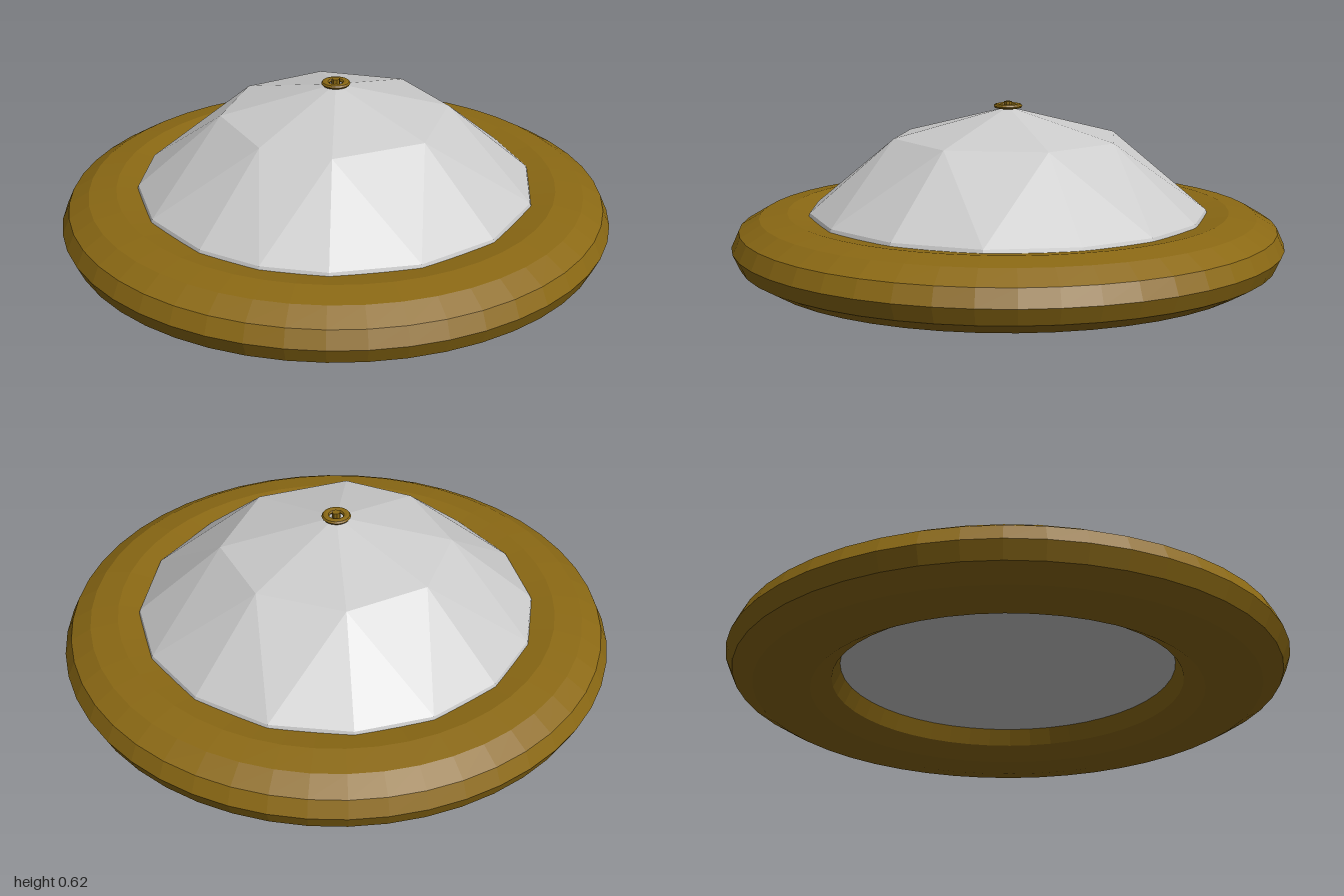
import * as THREE from 'three';

const gold = new THREE.MeshStandardMaterial({ color: 0x8b6914, flatShading: true });
const grey = new THREE.MeshStandardMaterial({ color: 0xcccccc, flatShading: true });

// horizontal ring with an elliptical section, centred at height y
function ring(name, radius, tube, halfHeight, y, sides, segments) {
  const geo = new THREE.TorusGeometry(radius, tube, sides, segments);
  geo.rotateX(-Math.PI / 2);
  geo.scale(1, halfHeight / tube, 1);
  geo.translate(0, y, 0);
  const mesh = new THREE.Mesh(geo, gold);
  mesh.name = name;
  return mesh;
}

// point at an angle in degrees, measured from +x towards +z
function polar(deg, r, y) {
  const a = THREE.MathUtils.degToRad(deg);
  return [r * Math.cos(a), y, r * Math.sin(a)];
}

// faceted dome: apex, irregular middle ring, rim with twice the points, closed base
function facetedDome() {
  const angles = [11, 60, 97, 143, 186, 230, 276, 320];
  const n = angles.length;
  const apex = [0, 0.605, 0];
  const baseY = 0.118;
  const middle = angles.map(a => polar(a, 0.415, 0.497));
  const rim = [], skirt = [];
  angles.forEach((a, i) => {
    const next = angles[(i + 1) % n] + (i === n - 1 ? 360 : 0);
    for (const deg of [a, (a + next) / 2]) {
      rim.push(polar(deg, 0.72, 0.235));
      skirt.push(polar(deg, 0.76, baseY));
    }
  });
  const pos = [];
  const tri = (a, b, c) => pos.push(...a, ...b, ...c);
  for (let i = 0; i < n; i++) {
    const j = (i + 1) % n, k = 2 * i, m = k + 1, l = (k + 2) % (2 * n);
    tri(apex, middle[j], middle[i]);
    tri(middle[i], rim[m], rim[k]);
    tri(middle[i], middle[j], rim[m]);
    tri(middle[j], rim[l], rim[m]);
    for (const [p, q] of [[k, m], [m, l]]) {
      tri(rim[p], rim[q], skirt[q]);
      tri(rim[p], skirt[q], skirt[p]);
      tri([0, baseY, 0], skirt[p], skirt[q]);
    }
  }
  const geo = new THREE.BufferGeometry();
  geo.setAttribute('position', new THREE.Float32BufferAttribute(pos, 3));
  geo.computeVertexNormals();
  const mesh = new THREE.Mesh(geo, grey);
  mesh.name = 'facetedDome';
  return mesh;
}

export function createModel() {
  const group = new THREE.Group();
  group.name = 'domedSetting';

  // broad rounded frame and the faceted dome it holds
  group.add(ring('frame', 0.8, 0.2, 0.118, 0.118, 12, 48));
  group.add(facetedDome());

  // small finial: collar and pin
  const finial = new THREE.Group();
  finial.name = 'finial';
  finial.add(ring('finialCollar', 0.038, 0.014, 0.009, 0.608, 8, 24));
  const pin = new THREE.Mesh(new THREE.CylinderGeometry(0.015, 0.015, 0.035, 8), gold);
  pin.name = 'finialPin';
  pin.position.y = 0.607;
  finial.add(pin);
  group.add(finial);

  return group;
}
